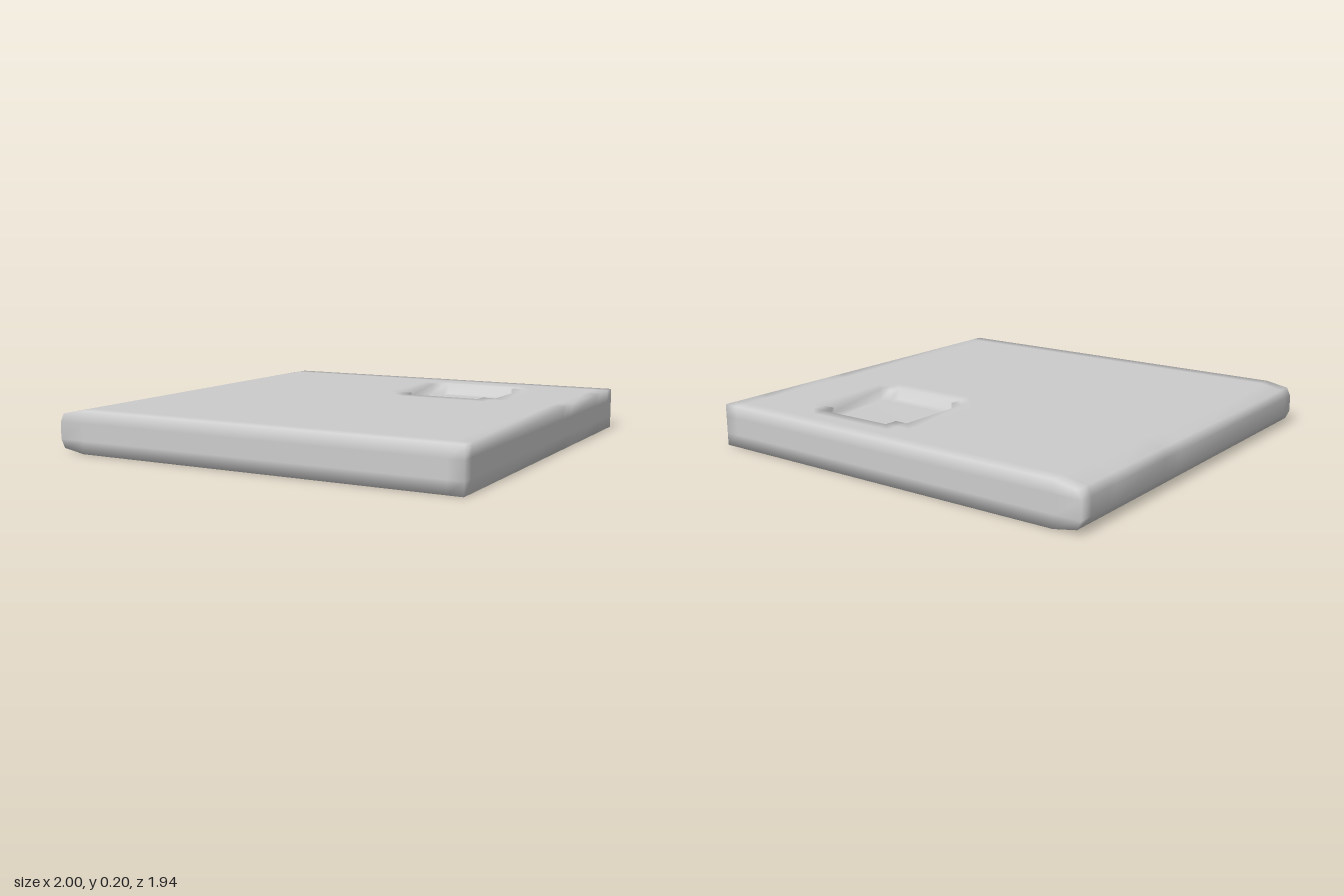
import * as THREE from 'three';
import { mergeVertices } from 'three/addons/utils/BufferGeometryUtils.js';

// Grid lines of the slab; close pairs keep the soft shading near the edges
const XS = [-1, -0.87, -0.76, 0.02, 0.09, 0.155, 0.545, 0.61, 0.68, 0.93, 1];
const ZS = [-0.97, -0.9, -0.84, -0.78, -0.715, -0.325, -0.26, -0.19, 0.9, 0.97];
const YS = [0, 0.06, 0.14, 0.2];
const TOP_FLOOR = 0.145, BOTTOM_FLOOR = 0.075;

// Pocket cells: columns 4..6 and rows 3..5 of the grid
const inSquare = (i, j) => i >= 4 && i <= 6 && j >= 3 && j <= 5;
const inCross = (i, j) => inSquare(i, j) && (i === 5 || j === 4);

function slabGeometry() {
  const pos = [];
  // Rounds the upper and lower edges of the -x end
  const put = ([x, y, z]) => {
    if (x === -1 && (y === 0 || y === 0.2)) pos.push(-0.98, y ? 0.18 : 0.02, z);
    else pos.push(x, y, z);
  };
  const quad = (a, b, c, d) => [a, b, c, a, c, d].forEach(put);
  const wall = (p, q, lo, hi) =>
    quad([p[0], lo, p[1]], [q[0], lo, q[1]], [q[0], hi, q[1]], [p[0], hi, p[1]]);

  // One broad face with its pocket: surface, floor and pocket walls
  function broadFace(y, floor, inPocket, up) {
    for (let i = 0; i < XS.length - 1; i++) for (let j = 0; j < ZS.length - 1; j++) {
      const h = inPocket(i, j) ? floor : y;
      const c = [[XS[i], ZS[j]], [XS[i], ZS[j + 1]], [XS[i + 1], ZS[j + 1]], [XS[i + 1], ZS[j]]];
      const corners = c.map(([x, z]) => [x, h, z]);
      quad(...(up ? corners : corners.reverse()));
      if (h === y) continue;
      const lo = Math.min(y, floor), hi = Math.max(y, floor);
      if (!inPocket(i - 1, j)) wall(c[1], c[0], lo, hi);
      if (!inPocket(i + 1, j)) wall(c[3], c[2], lo, hi);
      if (!inPocket(i, j - 1)) wall(c[0], c[3], lo, hi);
      if (!inPocket(i, j + 1)) wall(c[2], c[1], lo, hi);
    }
  }
  broadFace(0.2, TOP_FLOOR, inCross, true);
  broadFace(0, BOTTOM_FLOOR, inSquare, false);

  // Four narrow sides
  for (let k = 0; k < YS.length - 1; k++) {
    const lo = YS[k], hi = YS[k + 1];
    for (let i = 0; i < XS.length - 1; i++) {
      wall([XS[i], 0.97], [XS[i + 1], 0.97], lo, hi);
      wall([XS[i + 1], -0.97], [XS[i], -0.97], lo, hi);
    }
    for (let j = 0; j < ZS.length - 1; j++) {
      wall([1, ZS[j + 1]], [1, ZS[j]], lo, hi);
      wall([-1, ZS[j]], [-1, ZS[j + 1]], lo, hi);
    }
  }

  const g = new THREE.BufferGeometry();
  g.setAttribute('position', new THREE.Float32BufferAttribute(pos, 3));
  const merged = mergeVertices(g, 1e-4);
  merged.computeVertexNormals();
  return merged;
}

export function createModel() {
  const group = new THREE.Group();
  group.name = 'recessedSlab';
  const slab = new THREE.Mesh(slabGeometry(), new THREE.MeshStandardMaterial({ color: 0xcccccc }));
  slab.name = 'slab';
  group.add(slab);
  return group;
}
